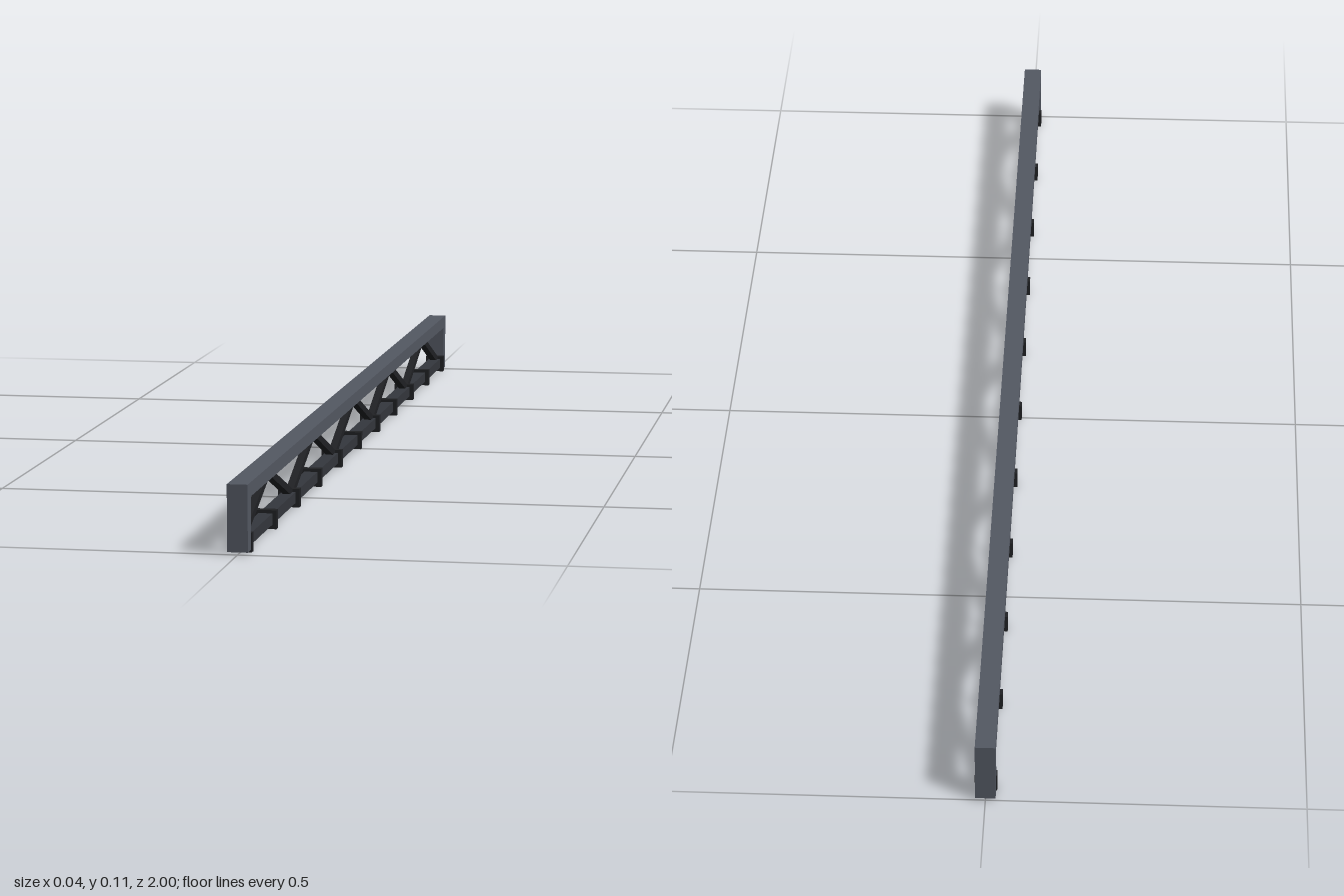
import * as THREE from 'three';

export function createModel() {
  const group = new THREE.Group();
  const frameMat = new THREE.MeshStandardMaterial({ color: 0x535862 });
  const darkMat = new THREE.MeshStandardMaterial({ color: 0x202124 });
  const chordMat = new THREE.MeshStandardMaterial({ color: 0x34373d });

  function box(name, w, h, d, y, z, mat) {
    const mesh = new THREE.Mesh(new THREE.BoxGeometry(w, h, d), mat);
    mesh.name = name;
    mesh.position.set(0, y, z);
    group.add(mesh);
    return mesh;
  }

  // Outer frame: top beam and two end posts
  box('topBeam', 0.032, 0.022, 2, 0.097, 0, frameMat);
  for (const s of [1, -1]) box('endPost', 0.032, 0.082, 0.026, 0.045, s * 0.987, frameMat);

  // Lower chord
  box('bottomChord', 0.022, 0.018, 1.95, 0.016, 0, chordMat);

  // Clamps around the lower chord at every panel point
  const step = 0.194;
  for (let i = -5; i <= 5; i++) box('chordClamp', 0.035, 0.03, 0.014, 0.015, i * step, darkMat);

  // Zigzag web between lower and upper nodes
  const nodeY = (i) => (i % 2 ? 0.022 : 0.09);
  for (let i = -5; i < 5; i++) {
    const dy = nodeY(i + 1) - nodeY(i);
    const strut = box('webStrut', 0.012, 0.012, Math.hypot(step, dy),
      (nodeY(i) + nodeY(i + 1)) / 2, (i + 0.5) * step, darkMat);
    strut.rotation.x = -Math.atan2(dy, step);
  }
  return group;
}
